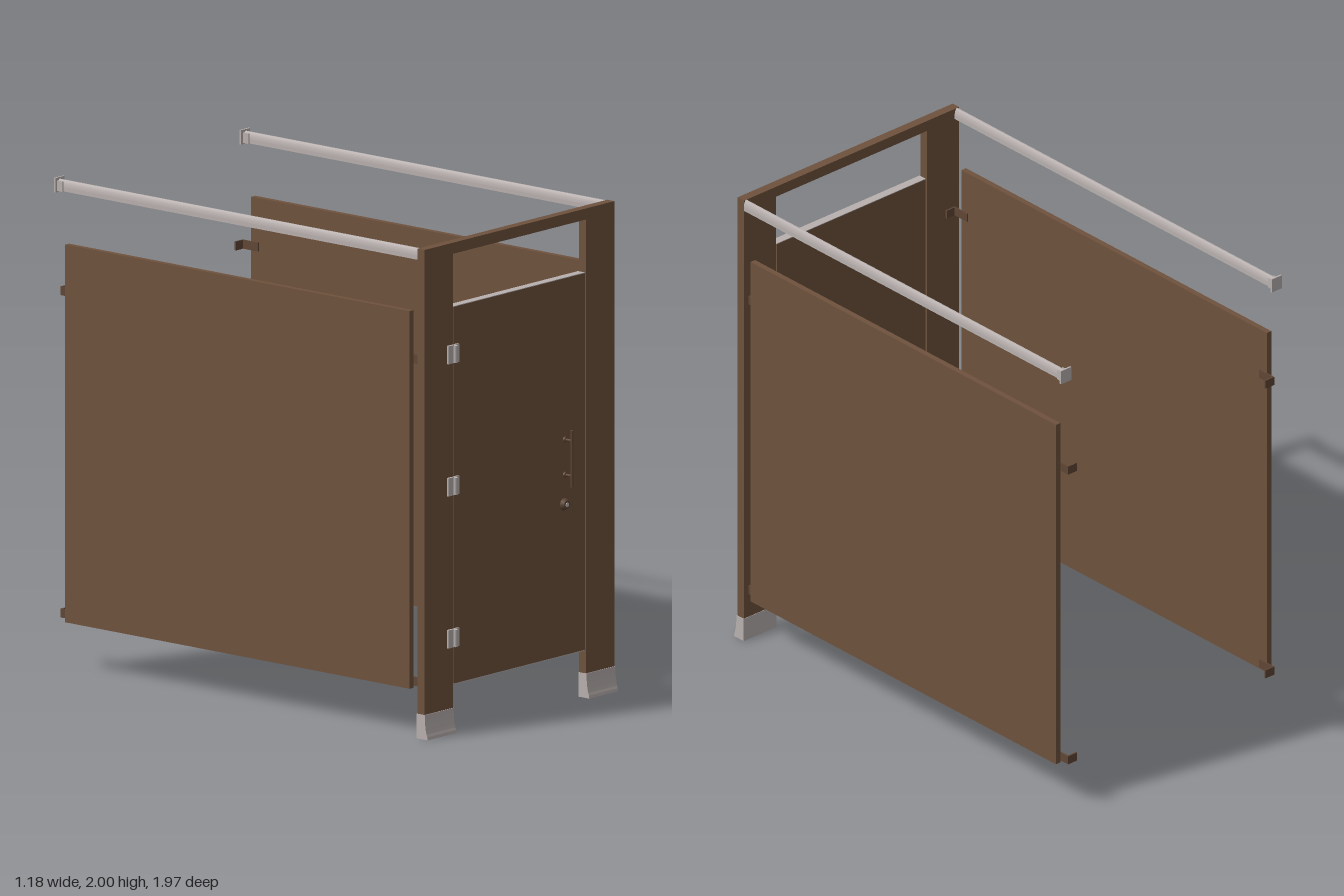
import * as THREE from 'three';

export function createModel() {
  const root = new THREE.Group();
  const mat = (name, color) => {
    const m = new THREE.MeshStandardMaterial({ color });
    m.name = name;
    return m;
  };
  const brown = mat('brown panel', 0x6e523d);
  const bronze = mat('dark bronze', 0x5f4635);
  const metal = mat('brushed metal', 0xb8b0ae);

  const add = (name, geo, material, parent = root) => {
    const m = new THREE.Mesh(geo, material);
    m.name = name;
    parent.add(m);
    return m;
  };
  // box given by its extents on each axis
  const box = (name, x0, x1, y0, y1, z0, z1, material, parent) => {
    const a = Math.min(x0, x1), b = Math.max(x0, x1);
    const m = add(name, new THREE.BoxGeometry(b - a, y1 - y0, z1 - z0), material, parent);
    m.position.set((a + b) / 2, (y0 + y1) / 2, (z0 + z1) / 2);
    return m;
  };
  // cylinder lying along z
  const rod = (name, x, y, z0, z1, r0, r1, material, parent) => {
    const g = new THREE.CylinderGeometry(r1, r0, z1 - z0, 20).rotateX(Math.PI / 2);
    const m = add(name, g, material, parent);
    m.position.set(x, y, (z0 + z1) / 2);
    return m;
  };
  const F0 = 0.905, F1 = 0.943;

  // front frame
  box('header', -0.403, 0.403, 1.945, 1.99, F0, F1, brown);

  // shoe: side profile in (z, y), flared toward the front
  const shoeShape = new THREE.Shape();
  shoeShape.moveTo(0.903, 0);
  shoeShape.lineTo(0.961, 0);
  shoeShape.lineTo(0.959, 0.012);
  shoeShape.quadraticCurveTo(0.947, 0.04, 0.946, 0.1);
  shoeShape.lineTo(0.903, 0.1);
  shoeShape.closePath();

  // head rail: cross-section in (x, y), rounded grip-proof top
  const railShape = new THREE.Shape();
  railShape.moveTo(-0.012, 1.945);
  railShape.lineTo(0.012, 1.945);
  railShape.lineTo(0.012, 1.962);
  railShape.quadraticCurveTo(0.011, 1.98, 0.003, 1.99);
  railShape.lineTo(-0.003, 1.99);
  railShape.quadraticCurveTo(-0.011, 1.98, -0.012, 1.962);
  railShape.closePath();

  for (const s of [-1, 1]) {
    const side = s > 0 ? 'left' : 'right';
    box(side + 'Pilaster', s * 0.403, s * 0.575, 0.1, 1.99, F0, F1, brown);

    const shoe = add(side + 'Shoe',
      new THREE.ExtrudeGeometry(shoeShape, { depth: 0.175, bevelEnabled: false, curveSegments: 6 }), metal);
    shoe.rotation.y = -Math.PI / 2;
    shoe.scale.z = 1;
    shoe.position.x = s > 0 ? 0.577 : -0.402;

    box(side + 'Panel', s * 0.551, s * 0.575, 0.195, 1.73, -0.94, 0.865, brown);

    const rail = add(side + 'HeadRail',
      new THREE.ExtrudeGeometry(railShape, { depth: F0 + 0.98, bevelEnabled: false, curveSegments: 6 }), metal);
    rail.position.set(s * 0.563, 0, -0.98);

    // wall bracket around the rail's rear end
    const wb = new THREE.Group();
    wb.name = side + 'RailBracket';
    root.add(wb);
    box('flange', s * 0.535, s * 0.59, 1.938, 1.997, -0.987, -0.979, metal, wb);
    for (const x of [0.549, 0.577])
      box('cheek', s * (x - 0.002), s * (x + 0.002), 1.943, 1.985, -0.979, -0.95, metal, wb);

    // angle brackets holding the panel to the wall and to the pilaster
    for (const y of [0.222, 1.532]) {
      const b = new THREE.Group();
      b.name = side + 'PanelBrackets';
      root.add(b);
      box('rearLeg', s * 0.545, s * 0.551, y - 0.018, y + 0.018, -0.98, -0.9, bronze, b);
      box('rearFlange', s * 0.503, s * 0.551, y - 0.018, y + 0.018, -0.985, -0.978, bronze, b);
      box('frontLeg', s * 0.545, s * 0.551, y - 0.018, y + 0.018, 0.825, F0, bronze, b);
      box('frontFlange', s * 0.503, s * 0.551, y - 0.018, y + 0.018, 0.898, F0, bronze, b);
    }
  }

  // door with metal edge strips
  box('door', -0.397, 0.397, 0.197, 1.728, F0 + 0.001, F1 - 0.001, brown);
  box('doorTopEdge', -0.397, 0.397, 1.728, 1.731, F0 + 0.001, F1 - 0.001, metal);
  box('doorBottomEdge', -0.397, 0.397, 0.194, 0.197, F0 + 0.001, F1 - 0.001, metal);

  // hinges: two leaves and a barrel
  for (const y of [0.385, 1.003, 1.54]) {
    const h = new THREE.Group();
    h.name = 'hinge';
    root.add(h);
    box('pilasterLeaf', -0.44, -0.408, y - 0.037, y + 0.037, F1 - 0.001, 0.953, metal, h);
    box('doorLeaf', -0.398, -0.376, y - 0.037, y + 0.037, F1 - 0.001, 0.953, metal, h);
    const barrel = add('barrel', new THREE.CylinderGeometry(0.01, 0.01, 0.07, 14), metal, h);
    barrel.position.set(-0.403, y, 0.956);
  }

  // pull handle
  const handle = new THREE.Group();
  handle.name = 'handle';
  root.add(handle);
  const bar = add('bar', new THREE.CylinderGeometry(0.006, 0.006, 0.23, 16), bronze, handle);
  bar.position.set(0.275, 1.0, 0.979);
  for (const y of [0.93, 1.073]) {
    rod('post', 0.275, y, F1 - 0.001, 0.979, 0.005, 0.005, bronze, handle);
    rod('postBase', 0.275, y, F1 - 0.001, 0.949, 0.012, 0.01, bronze, handle);
  }

  // latch knob on both faces
  const latch = new THREE.Group();
  latch.name = 'latch';
  root.add(latch);
  rod('frontRose', 0.272, 0.81, F1 - 0.001, 0.957, 0.026, 0.018, bronze, latch);
  rod('rearRose', 0.272, 0.81, 0.891, F0 + 0.002, 0.018, 0.026, bronze, latch);
  rod('indicator', 0.272, 0.81, 0.957, 0.96, 0.009, 0.009, metal, latch);
  box('thumbTurn', 0.267, 0.277, 0.795, 0.825, 0.884, 0.891, bronze, latch);

  return root;
}
